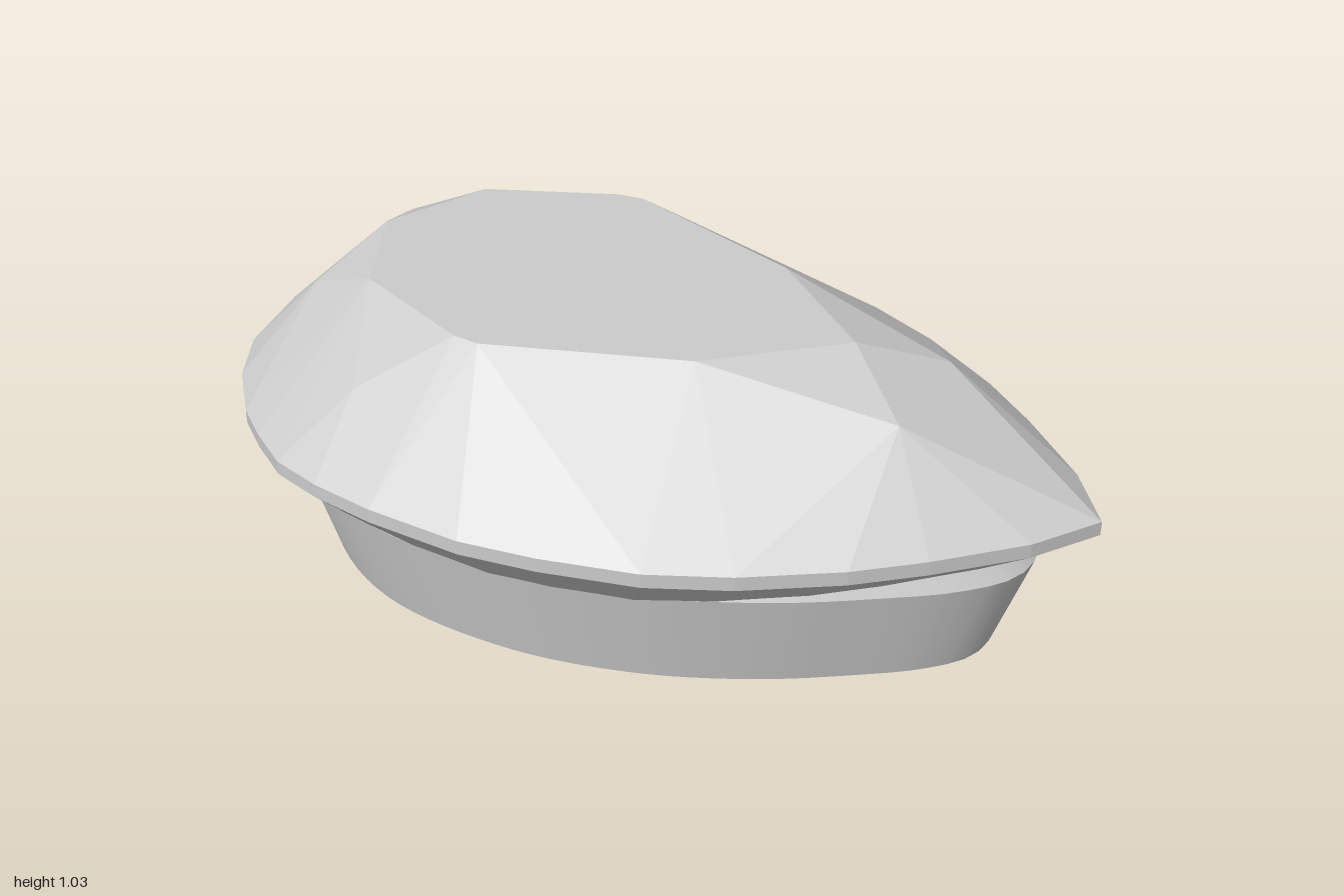
import * as THREE from 'three';
import { ConvexGeometry } from 'three/addons/geometries/ConvexGeometry.js';
import { toCreasedNormals } from 'three/addons/utils/BufferGeometryUtils.js';

// half outlines (x, z), tip first
const GIRDLE = [[1, 0], [0.9, 0.14], [0.74, 0.29], [0.61, 0.395], [0.42, 0.515], [0.25, 0.592], [0.04, 0.642], [-0.13, 0.665],
  [-0.35, 0.655], [-0.5, 0.632], [-0.62, 0.597], [-0.72, 0.53], [-0.8, 0.465], [-0.9, 0.345], [-0.967, 0.21], [-1, 0]];
const TABLE = [[0.44, 0], [0.18, 0.22], [-0.25, 0.365], [-0.31, 0.36], [-0.6, 0.24], [-0.715, 0]];
const BEZEL = [[0.87, 0], [0.85, 0.08], [0.77, 0.17], [0.63, 0.27], [0.44, 0.385], [0.18, 0.495], [-0.13, 0.555],
  [-0.48, 0.525], [-0.71, 0.4], [-0.87, 0.2], [-0.93, 0]];

// full loop from a half outline, without repeating the points on the axis
const mirror = (half) => [...half, ...half.filter((p) => p[1] > 0).reverse().map(([x, z]) => [x, -z])];
const atHeight = (half, y) => mirror(half).map(([x, z]) => new THREE.Vector3(x, y, z));

// faceted stone: table, crown facet corners, girdle band and culet
function makeGem() {
  const crown = [[0.6, 0.14, 0.953], [-0.08, 0.45, 0.93], [-0.5, 0.47, 0.905], [-0.78, 0.195, 0.955]];
  const points = [
    ...atHeight(TABLE, 1.03),
    ...crown.flatMap(([x, z, y]) => [new THREE.Vector3(x, y, z), new THREE.Vector3(x, y, -z)]),
    ...atHeight(GIRDLE, 0.76),
    ...atHeight(GIRDLE, 0.727),
    new THREE.Vector3(-0.145, 0, 0),
  ];
  return new ConvexGeometry(points);
}

// setting: a closed section swept round the pear outline, scaled per section point
function makeBezel() {
  const section = [[0.911, 0.372], [1, 0.615], [0.97, 0.65], [0.7, 0.54], [0.78, 0.5], [0.895, 0.372]];
  const centreX = -0.03;
  const n = 96;
  const m = section.length;
  const outline = new THREE.CatmullRomCurve3(atHeight(BEZEL, 0), true).getSpacedPoints(n);
  const positions = [];
  const index = [];
  for (let i = 0; i < n; i++) {
    for (let j = 0; j < m; j++) {
      const [k, y] = section[j];
      positions.push(centreX + (outline[i].x - centreX) * k, y, outline[i].z * k);
      const i2 = (i + 1) % n;
      const j2 = (j + 1) % m;
      const a = i * m + j, b = i * m + j2, c = i2 * m + j2, d = i2 * m + j;
      index.push(a, b, c, a, c, d);
    }
  }
  const geometry = new THREE.BufferGeometry();
  geometry.setAttribute('position', new THREE.Float32BufferAttribute(positions, 3));
  geometry.setIndex(index);
  return toCreasedNormals(geometry, 0.5);
}

export function createModel() {
  const group = new THREE.Group();
  group.name = 'pearGemInSetting';
  const add = (name, geometry, options = {}) => {
    const mesh = new THREE.Mesh(geometry, new THREE.MeshStandardMaterial({ color: 0xcccccc, ...options }));
    mesh.name = name;
    group.add(mesh);
  };
  add('gemstone', makeGem(), { flatShading: true });
  add('bezel', makeBezel(), { side: THREE.DoubleSide });
  return group;
}
